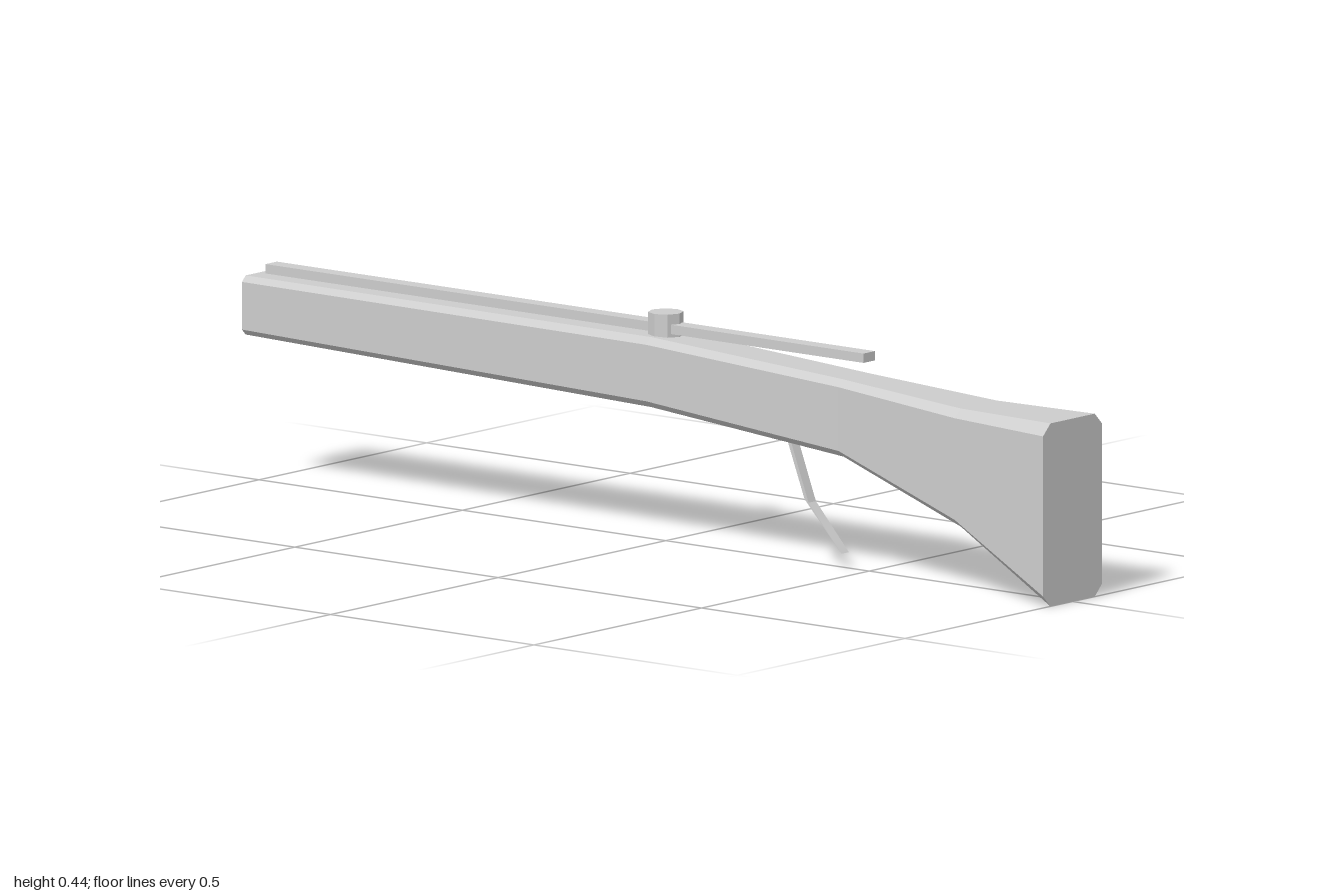
import * as THREE from 'three';

// Chamfered octagonal ring in the XY plane at depth z
function ring([z, bottom, top, w, c, cy]) {
  return [
    [w, bottom + cy], [w, top - cy], [w - c, top], [c - w, top],
    [-w, top - cy], [-w, bottom + cy], [c - w, bottom], [w - c, bottom],
  ].map(([x, y]) => [x, y, z]);
}

// Rectangular ring for the trigger
function bar([z, y, dz, dy, w]) {
  return [[w, y + dy, z + dz], [w, y - dy, z - dz], [-w, y - dy, z - dz], [-w, y + dy, z + dz]];
}

// Faceted skin through successive rings, closed at both ends
function loft(rings) {
  const pos = [];
  const tri = (a, b, c) => pos.push(...a, ...b, ...c);
  const n = rings[0].length;
  for (let i = 0; i < rings.length - 1; i++) {
    const a = rings[i], b = rings[i + 1];
    for (let j = 0; j < n; j++) {
      const k = (j + 1) % n;
      tri(a[j], b[j], b[k]);
      tri(a[j], b[k], a[k]);
    }
  }
  const first = rings[0], last = rings[rings.length - 1];
  for (let j = 1; j < n - 1; j++) {
    tri(first[0], first[j], first[j + 1]);
    tri(last[0], last[j + 1], last[j]);
  }
  const geo = new THREE.BufferGeometry();
  geo.setAttribute('position', new THREE.Float32BufferAttribute(pos, 3));
  geo.computeVertexNormals();
  return geo;
}

export function createModel() {
  const group = new THREE.Group();
  const grey = new THREE.MeshStandardMaterial({ color: 0xcccccc });
  grey.name = 'plainGrey';
  const add = (name, geo, x = 0, y = 0, z = 0) => {
    const mesh = new THREE.Mesh(geo, grey);
    mesh.name = name;
    mesh.position.set(x, y, z);
    group.add(mesh);
  };

  // Stock, from the flared butt to the slim fore-end: z, bottom, top, half width, chamfer x, chamfer y
  add('stock', loft([
    [1, 0, 0.353, 0.088, 0.022, 0.022],
    [0.77, 0.125, 0.353, 0.073, 0.019, 0.016],
    [0.47, 0.223, 0.372, 0.055, 0.015, 0.013],
    [0, 0.264, 0.399, 0.058, 0.014, 0.013],
    [-1, 0.286, 0.4, 0.051, 0.011, 0.011],
  ].map(ring)));

  // Rail along the top and the eight-sided post through it
  add('rail', new THREE.BoxGeometry(0.034, 0.018, 1.47), 0, 0.413, -0.235);
  add('post', new THREE.CylinderGeometry(0.034, 0.034, 0.046, 8).toNonIndexed(), 0, 0.419, 0);
  const post = group.getObjectByName('post').geometry;
  post.computeVertexNormals();

  // Bent trigger lever: z, y, half thickness as (dz, dy), half width
  add('trigger', loft([
    [0.437, 0.032, 0.004, -0.004, 0.011],
    [0.355, 0.12, 0.005, -0.003, 0.011],
    [0.305, 0.25, 0.005, -0.002, 0.011],
  ].map(bar).map((r) => r.reverse())));

  return group;
}
